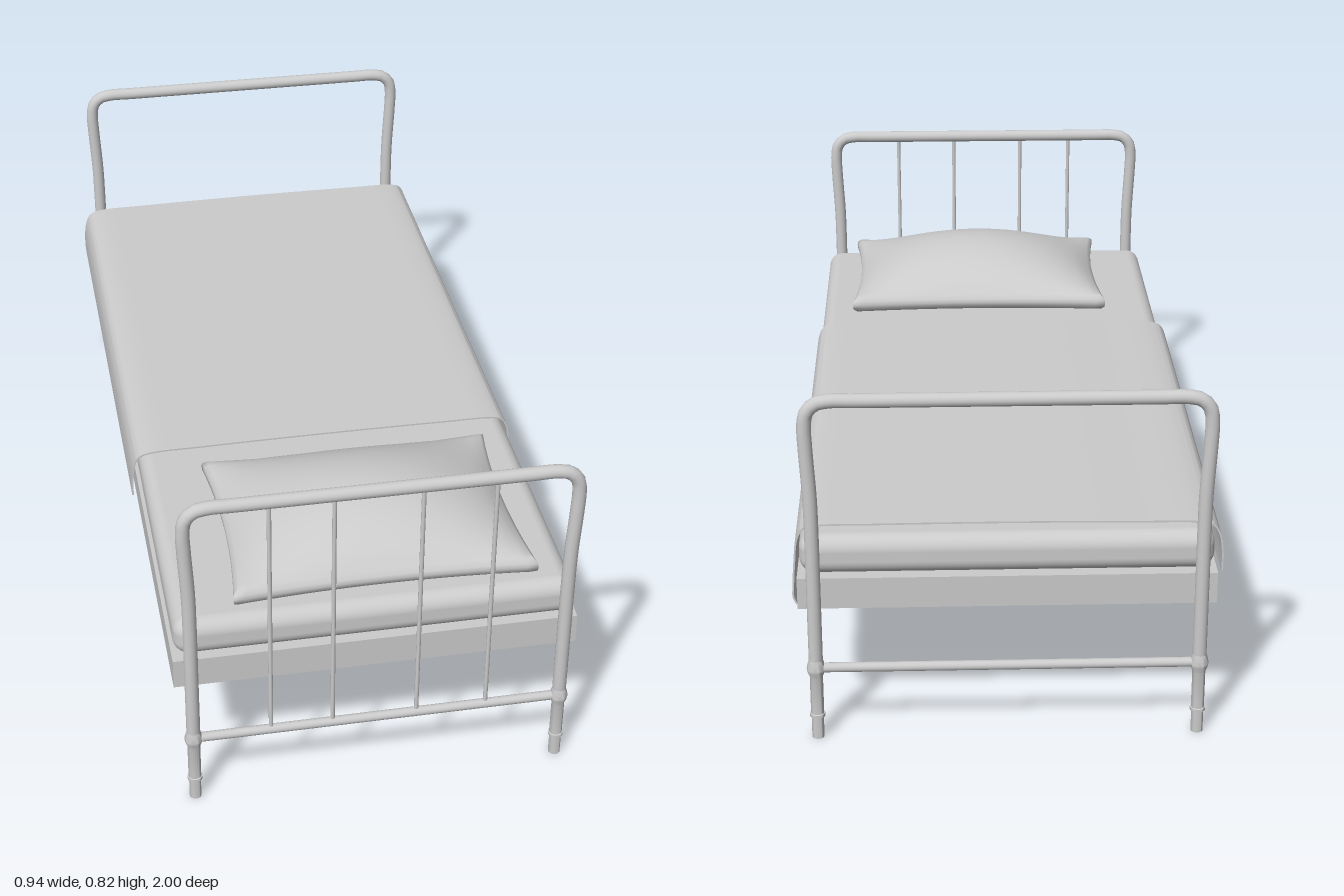
import * as THREE from 'three';
import { RoundedBoxGeometry } from 'three/addons/geometries/RoundedBoxGeometry.js';
import { toCreasedNormals, mergeVertices } from 'three/addons/utils/BufferGeometryUtils.js';

const grey = new THREE.MeshStandardMaterial({ color: 0xcccccc });
const cloth = new THREE.MeshStandardMaterial({ color: 0xcccccc, side: THREE.DoubleSide });

function add(parent, name, geometry, x = 0, y = 0, z = 0, material = grey) {
  const mesh = new THREE.Mesh(geometry, material);
  mesh.name = name;
  mesh.position.set(x, y, z);
  parent.add(mesh);
  return mesh;
}

// Move every vertex by a rule
function reshape(geometry, rule) {
  const p = geometry.attributes.position;
  const v = new THREE.Vector3();
  for (let i = 0; i < p.count; i++) {
    rule(v.fromBufferAttribute(p, i));
    p.setXYZ(i, v.x, v.y, v.z);
  }
  geometry.computeVertexNormals();
  return geometry;
}

// Bent tube hoop, two turned feet and a lower rail
function bedEnd(name, z) {
  const end = new THREE.Group();
  end.name = name;
  end.position.z = z;

  const half = [[0.42, 0.17], [0.42, 0.35], [0.42, 0.5], [0.421, 0.58], [0.427, 0.7], [0.428, 0.745],
    [0.423, 0.778], [0.405, 0.798], [0.375, 0.805], [0.32, 0.805]];
  const points = [
    ...half.map(([x, y]) => new THREE.Vector3(-x, y, 0)),
    ...half.slice().reverse().map(([x, y]) => new THREE.Vector3(x, y, 0)),
  ];
  add(end, 'hoop', new THREE.TubeGeometry(new THREE.CatmullRomCurve3(points), 120, 0.0155, 16));

  const profile = [[0, 0], [0.0135, 0], [0.0135, 0.052], [0.017, 0.053], [0.017, 0.06], [0.0145, 0.061],
    [0.0145, 0.152], [0.0195, 0.165], [0.0205, 0.172], [0.0195, 0.179], [0.015, 0.195], [0, 0.195]];
  const foot = toCreasedNormals(
    new THREE.LatheGeometry(profile.map(([x, y]) => new THREE.Vector2(x, y)), 20), 0.7);
  for (const x of [-0.42, 0.42]) add(end, 'foot', foot, x);

  add(end, 'lowerRail', new THREE.CylinderGeometry(0.011, 0.011, 0.84, 14).rotateZ(Math.PI / 2), 0, 0.173);
  return end;
}

// Cushion with pinched corners, a domed top and a rounded rim
function pillowGeometry() {
  const box = new THREE.BoxGeometry(2, 2, 2, 28, 4, 28);
  box.deleteAttribute('uv');
  box.deleteAttribute('normal');
  return reshape(mergeVertices(box), (p) => {
    const { x: u, y: t, z: v } = p;
    const dome = Math.pow(Math.max(0, (1 - u * u) * (1 - v * v)), 0.8);
    const rim = 0.012 * (Math.sqrt(Math.max(0, 1 - t * t)) - 1);
    p.x = u * (0.325 + 0.018 * v * v + rim);
    p.z = v * (0.24 + 0.016 * u * u + rim);
    p.y = 0.02 * t + dome * (t > 0 ? 0.093 * t : 0.012 * t);
  });
}

// Thin folded sheet, longer on the +x side
function blanketGeometry(z0, z1) {
  const outer = [[-0.474, 0.36], [-0.474, 0.4], [-0.468, 0.445], [-0.455, 0.47], [-0.43, 0.48], [-0.3, 0.484],
    [0, 0.487], [0.3, 0.486], [0.42, 0.484], [0.445, 0.476], [0.459, 0.45], [0.465, 0.4], [0.47, 0.33],
    [0.47, 0.31], [0.463, 0.292]];
  const curve = new THREE.CatmullRomCurve3(outer.map(([x, y]) => new THREE.Vector3(x, y, 0)));
  const top = curve.getPoints(70);
  const shape = new THREE.Shape();
  top.forEach((p, i) => (i ? shape.lineTo(p.x, p.y) : shape.moveTo(p.x, p.y)));
  // Inner face follows the outer one at cloth thickness
  for (let i = 70; i >= 0; i--) {
    const d = curve.getTangent(i / 70);
    const a = curve.getPoint(i / 70);
    shape.lineTo(a.x + d.y * 0.004, a.y - d.x * 0.004);
  }
  const sheet = new THREE.ExtrudeGeometry(shape, { depth: z1 - z0, bevelEnabled: false, steps: 12 });
  return toCreasedNormals(sheet.translate(0, 0, z0), 0.7);
}

export function createModel() {
  const bed = new THREE.Group();
  bed.name = 'bed';

  // Metal ends
  const head = bedEnd('headboard', 0.98);
  const foot = bedEnd('footboard', -0.98);
  bed.add(head, foot);
  for (const x of [-0.245, -0.105, 0.087, 0.247]) {
    add(head, 'spindle', new THREE.CylinderGeometry(0.005, 0.005, 0.625, 10), x, 0.487, 0);
  }

  // Base and mattress
  add(bed, 'base', new THREE.BoxGeometry(0.914, 0.073, 1.91), 0, 0.3415, 0);
  const mattress = new RoundedBoxGeometry(0.912, 0.092, 1.9, 6, 0.035);
  const p = mattress.attributes.position;
  for (let i = 0; i < p.count; i++) {
    // Corners draw in slightly
    const e = Math.abs(p.getZ(i)) / 0.95;
    p.setX(i, p.getX(i) * (1 - 0.012 * Math.pow(e, 8)));
  }
  add(bed, 'mattress', mattress, 0, 0.424, 0);

  // Bedding
  add(bed, 'blanket', blanketGeometry(-0.91, 0.305), 0, 0, 0, cloth);
  add(bed, 'pillow', pillowGeometry(), 0.028, 0.497, 0.66);
  return bed;
}
